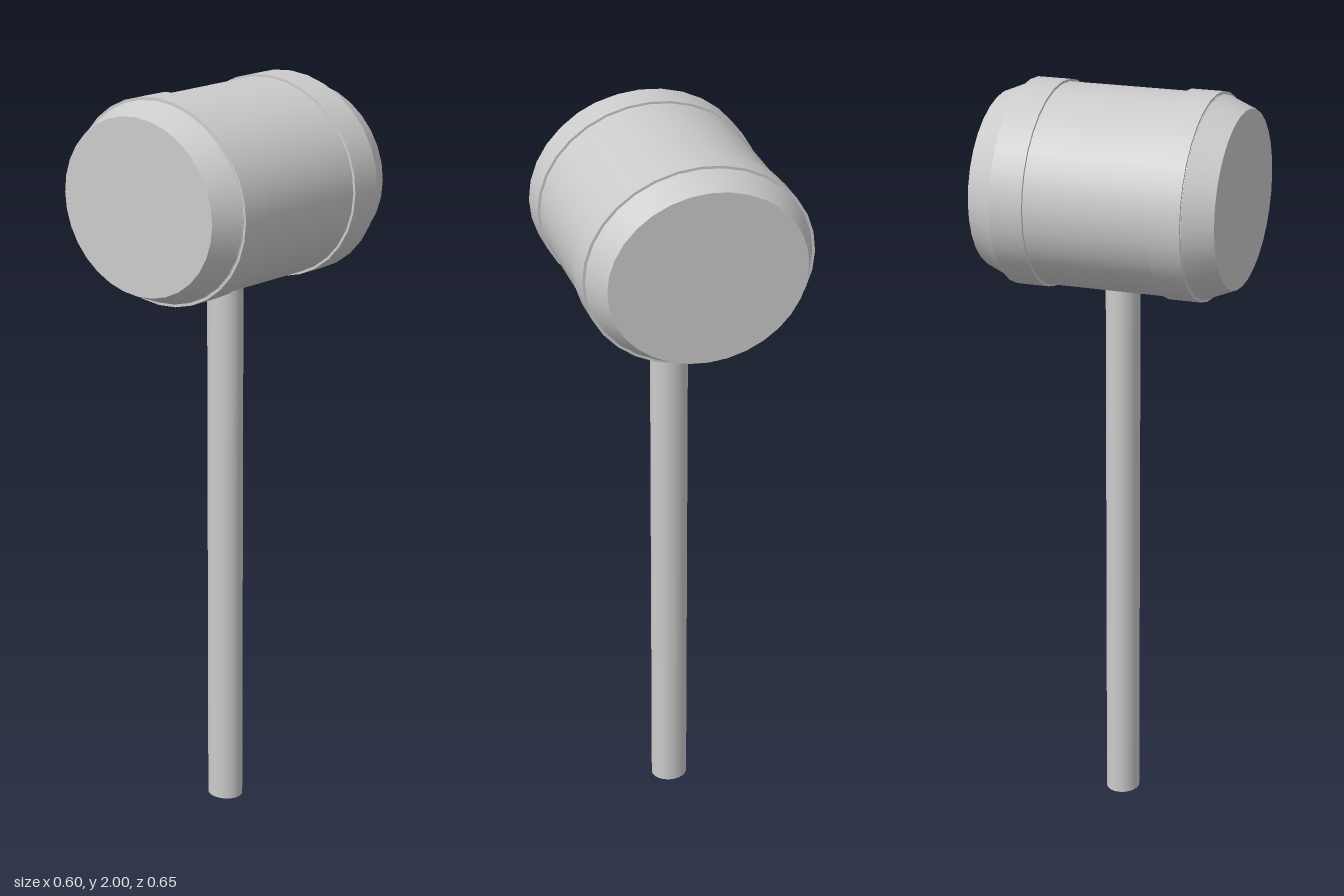
import * as THREE from 'three';

const HEAD_Y = 1.733; // height of the head's axis
const SQUASH = 0.888; // head is a little wider than tall

export function createModel() {
  const mallet = new THREE.Group();
  mallet.name = 'mallet';
  const material = new THREE.MeshStandardMaterial({ color: 0xcccccc });

  function add(parent, name, geometry) {
    const mesh = new THREE.Mesh(geometry, material);
    mesh.name = name;
    parent.add(mesh);
  }

  // Oval drum lying along z, from z0 (radius r0) to z1 (radius r1)
  function drum(r0, r1, z0, z1) {
    return new THREE.CylinderGeometry(r1, r0, z1 - z0, 32)
      .rotateX(Math.PI / 2)
      .scale(1, SQUASH, 1)
      .translate(0, 0, (z0 + z1) / 2);
  }

  // Head: core, with a raised band and a tapered striking end at each side
  const head = new THREE.Group();
  head.name = 'head';
  head.position.y = HEAD_Y;
  add(head, 'core', drum(0.293, 0.293, -0.25, 0.25));
  add(head, 'frontBand', drum(0.3, 0.3, 0.163, 0.248));
  add(head, 'backBand', drum(0.3, 0.3, -0.252, -0.165));
  add(head, 'frontEnd', drum(0.293, 0.258, 0.247, 0.324));
  add(head, 'backEnd', drum(0.258, 0.293, -0.325, -0.251));
  mallet.add(head);

  // Handle: slim oval rod running up into the head
  const handleHeight = 1.52;
  add(mallet, 'handle', new THREE.CylinderGeometry(0.05, 0.05, handleHeight, 32)
    .scale(1, 1, 0.9)
    .translate(0, handleHeight / 2, 0));

  return mallet;
}
